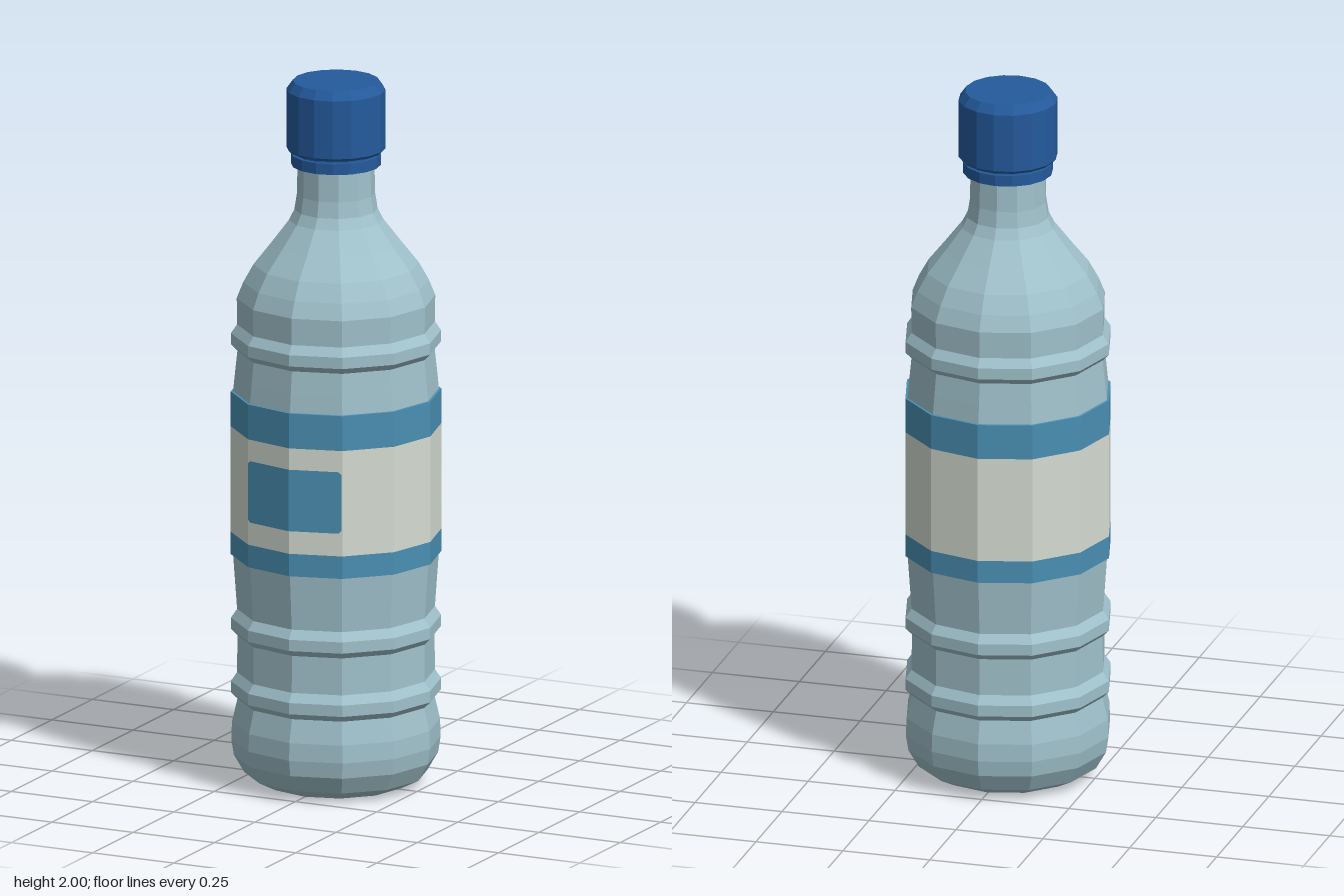
import * as THREE from 'three';

const paint = (name, color) =>
  new THREE.MeshStandardMaterial({ name, color, flatShading: true });

// Faceted solid of revolution from [radius, height] pairs, listed bottom to top
function turned(name, profile, sides, material) {
  const points = profile.map(([r, y]) => new THREE.Vector2(r, y));
  const mesh = new THREE.Mesh(new THREE.LatheGeometry(points, sides), material);
  mesh.name = name;
  return mesh;
}

// Raised moulded ring in the bottle wall
const rib = (y) => [[0.272, y], [0.29, y + 0.018], [0.29, y + 0.05], [0.273, y + 0.075]];

export function createModel() {
  const model = new THREE.Group();
  model.name = 'waterBottle';

  const plastic = paint('paleBluePlastic', 0xa0c1cb);
  const paper = paint('offWhiteLabel', 0xd5dcd2);
  const blue = paint('labelBlue', 0x4a8fb3);
  const capBlue = paint('capBlue', 0x245a9c);

  // Bottle body: base, ribbed wall, shoulder and neck
  model.add(turned('bottle', [
    [0, 0.005], [0.19, 0.005], [0.2, 0.008], [0.253, 0.035], [0.282, 0.085], [0.289, 0.13],
    [0.287, 0.18],
    ...rib(0.245),
    ...rib(0.425),
    [0.284, 0.655], [0.284, 1.12], [0.279, 1.17],
    ...rib(1.235),
    [0.274, 1.385], [0.256, 1.43], [0.228, 1.48], [0.18, 1.54], [0.13, 1.605],
    [0.115, 1.635], [0.108, 1.68], [0.106, 1.77], [0, 1.77],
  ], 12, plastic));

  // Wrapped label: white field between two blue bands
  const R = 0.2905;
  model.add(turned('lowerLabelBand', [[0.282, 0.655], [R, 0.656], [R, 0.72]], 12, blue));
  model.add(turned('labelField', [[R, 0.72], [R, 1.02]], 12, paper));
  model.add(turned('upperLabelBand', [[R, 1.02], [R, 1.119], [0.277, 1.12]], 12, blue));

  // Front panel: two thin plates folded along the front edge of the label
  const panel = new THREE.Group();
  panel.name = 'frontLabelPanel';
  for (const side of [-1, 1]) {
    const w = 0.144, c = 0.008, low = 0.785, high = 0.96;
    const shape = new THREE.Shape([
      [0, low], [w - c, low], [w, low + c], [w, high - c], [w - c, high], [0, high],
    ].map(([x, y]) => new THREE.Vector2(side * x, y)));
    const plate = new THREE.ShapeGeometry(shape);
    const p = plate.attributes.position;
    for (let i = 0; i < p.count; i++) {
      p.setZ(i, R + 0.003 - Math.abs(p.getX(i)) * Math.tan(Math.PI / 12));
    }
    plate.computeVertexNormals();
    const mesh = new THREE.Mesh(plate, blue);
    mesh.name = side > 0 ? 'panelLeft' : 'panelRight';
    panel.add(mesh);
  }
  model.add(panel);

  // Tamper ring and screw cap
  model.add(turned('capRing', [
    [0.1, 1.762], [0.124, 1.762], [0.124, 1.793], [0.1, 1.793],
  ], 16, capBlue));
  model.add(turned('capCore', [[0.112, 1.765], [0.112, 1.81]], 16, capBlue));
  model.add(turned('cap', [
    [0, 1.802], [0.13, 1.802], [0.137, 1.81], [0.137, 1.975], [0.119, 2], [0, 2],
  ], 16, capBlue));

  return model;
}
